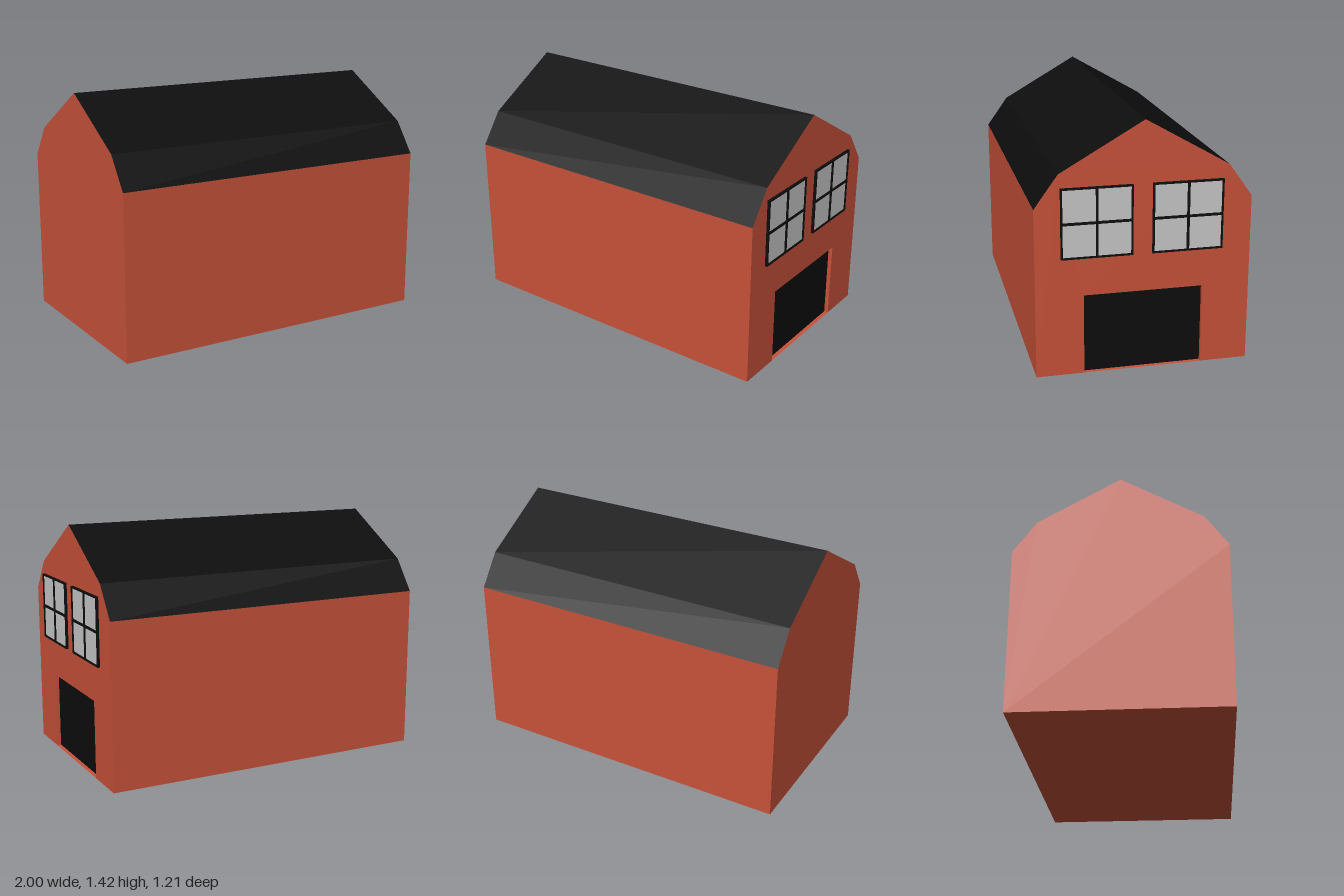
import * as THREE from 'three';

const BACK = -1, WALL = 0.985, FRONT = 1, DOOR_X = 0.96;
const HALF = 0.603, EAVES = 0.965, DOOR_HALF = 0.335, DOOR_TOP = 0.46;

const red = new THREE.MeshStandardMaterial({ color: 0xc8523a });
red.name = 'barn red';
const black = new THREE.MeshStandardMaterial({ color: 0x0d0d0d });
black.name = 'black';
const glass = new THREE.MeshStandardMaterial({ color: 0xc8c8c8 });
glass.name = 'pale glass';

// Profiles are [s, y] with s = -z, drawn as seen from the gable end at +x
const roofLine = [[HALF, EAVES], [0.47, 1.15], [0, 1.42], [-0.47, 1.15], [-HALF, EAVES]];
const opening = [[-DOOR_HALF, 0], [-DOOR_HALF, DOOR_TOP], [DOOR_HALF, DOOR_TOP], [DOOR_HALF, 0]];

const toShape = (pts) => new THREE.Shape(pts.map(([s, y]) => new THREE.Vector2(s, y)));

const rect = (s0, y0, s1, y1) => [[s0, y0], [s1, y0], [s1, y1], [s0, y1]];

// Sweep an open profile along x into flat panels
function strip(pts, x0, x1) {
  const v = [];
  for (let i = 0; i + 1 < pts.length; i++) {
    const [p, q] = [pts[i], pts[i + 1]];
    const a = [x1, p[1], -p[0]], b = [x0, p[1], -p[0]];
    const c = [x0, q[1], -q[0]], d = [x1, q[1], -q[0]];
    v.push(...a, ...b, ...c, ...a, ...c, ...d);
  }
  const g = new THREE.BufferGeometry();
  g.setAttribute('position', new THREE.Float32BufferAttribute(v, 3));
  g.computeVertexNormals();
  return g;
}

// Flat panel facing +x
const panel = (shape, x) => new THREE.ShapeGeometry(shape).rotateY(Math.PI / 2).translate(x, 0, 0);

export function createModel() {
  const model = new THREE.Group();
  model.name = 'barn';
  const add = (name, geometry, material, parent = model) => {
    const mesh = new THREE.Mesh(geometry, material);
    mesh.name = name;
    parent.add(mesh);
  };

  // Shell
  add('roof', strip(roofLine, BACK, WALL), black);
  add('sideWallsAndFloor', strip([[-HALF, EAVES], [-HALF, 0], [HALF, 0], [HALF, EAVES]], BACK, WALL), red);
  add('backGable', new THREE.ShapeGeometry(toShape([[-HALF, 0], [HALF, 0], ...roofLine]))
    .rotateY(-Math.PI / 2).translate(BACK, 0, 0), red);
  add('doorGable', panel(toShape([[-HALF, 0], ...opening, [HALF, 0], ...roofLine]), WALL), red);

  // Recessed doorway
  add('doorReveal', strip([...opening, opening[0]], DOOR_X, WALL), red);
  add('door', panel(toShape(rect(-DOOR_HALF, 0, DOOR_HALF, DOOR_TOP)), DOOR_X), black);

  // Four-pane windows standing proud of the gable
  const half = 0.198, frame = 0.01, bar = 0.007;
  [0.263, -0.242].forEach((z, i) => {
    const win = new THREE.Group();
    win.name = i === 0 ? 'leftWindow' : 'rightWindow';
    win.position.set(WALL, 0.875, z);
    const outline = toShape(rect(-half, -half, half, half));
    const inner = half - frame;
    for (const s of [-1, 1]) for (const t of [-1, 1]) {
      const pane = rect(s * bar, t * bar, s * inner, t * inner);
      outline.holes.push(toShape(pane));
    }
    add('frame', new THREE.ExtrudeGeometry(outline, { depth: FRONT - WALL, bevelEnabled: false })
      .rotateY(Math.PI / 2), black, win);
    add('panes', panel(toShape(rect(-inner, -inner, inner, inner)), 0.008), glass, win);
    model.add(win);
  });
  return model;
}
